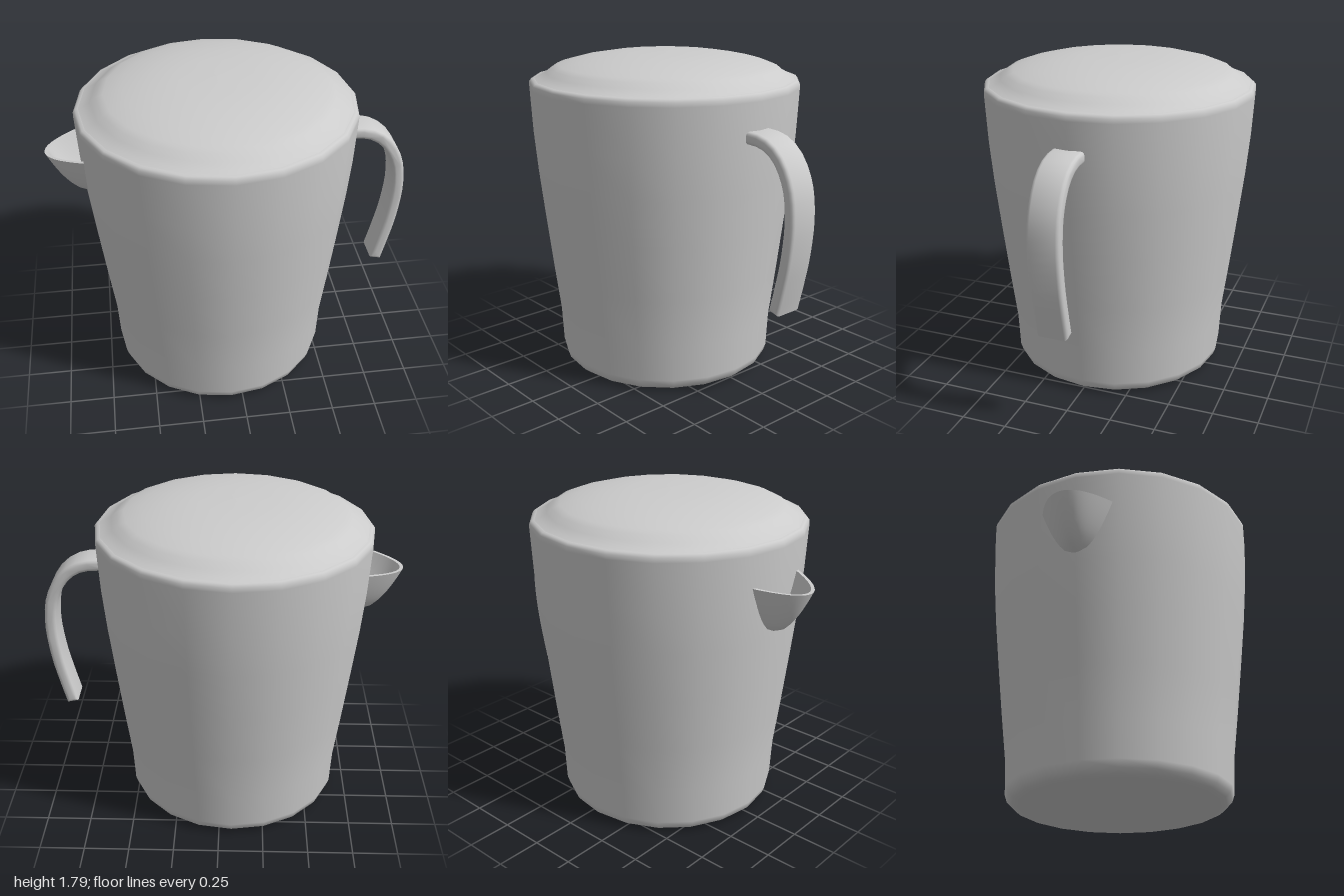
import * as THREE from 'three';
import { toCreasedNormals } from 'three/addons/utils/BufferGeometryUtils.js';

const material = new THREE.MeshStandardMaterial({ color: 0xcccccc });
const thinMaterial = new THREE.MeshStandardMaterial({ color: 0xcccccc, side: THREE.DoubleSide });
const AXIS_X = -0.07; // the vessel sits off centre between spout and handle

function add(group, name, geometry, mat = material) {
  const mesh = new THREE.Mesh(geometry, mat);
  mesh.name = name;
  group.add(mesh);
  return mesh;
}

// Twenty-sided turned part from [radius, height] pairs
function turned(profile) {
  return new THREE.LatheGeometry(profile.map(([r, y]) => new THREE.Vector2(r, y)), 20);
}

// Flat strap following a side curve, with rounded edges
function handleGeometry() {
  const curve = new THREE.CatmullRomCurve3([
    [0.62, 1.43], [0.68, 1.428], [0.77, 1.418], [0.865, 1.36], [0.942, 1.23],
    [0.967, 1.06], [0.95, 0.85], [0.918, 0.69], [0.882, 0.54],
  ].map(([x, y]) => new THREE.Vector3(x, y, 0)));
  const outer = [], inner = [], steps = 20, half = 0.033;
  for (let i = 0; i <= steps; i++) {
    const p = curve.getPointAt(i / steps), t = curve.getTangentAt(i / steps);
    outer.push(new THREE.Vector2(p.x - t.y * half, p.y + t.x * half));
    inner.push(new THREE.Vector2(p.x + t.y * half, p.y - t.x * half));
  }
  const bevel = 0.02, width = 0.175;
  const geometry = new THREE.ExtrudeGeometry(new THREE.Shape([...outer, ...inner.reverse()]), {
    depth: width - 2 * bevel, bevelEnabled: true, bevelSize: bevel,
    bevelThickness: bevel, bevelOffset: -bevel, bevelSegments: 3,
  });
  geometry.translate(0, 0, -width / 2 + bevel);
  return toCreasedNormals(geometry, 0.8);
}

// Thin scoop: parabolic sections that shrink toward the keel, outside then inside
function spoutGeometry() {
  const across = 16, down = 8, positions = [], index = [];
  const rows = [];
  for (let j = 0; j <= down; j++) rows.push([j / down, 0]);
  for (let j = down; j >= 0; j--) rows.push([j / down, 0.09]);
  for (const [h, inset] of rows) {
    const f = Math.max(0, Math.pow(h, 0.52) - inset);
    for (let i = 0; i <= across; i++) {
      const k = (i / across) * 2 - 1;
      positions.push(
        -0.775 - 0.225 * (1 - k * k) * f,
        1.15 + (0.26 + 0.03 * k * k) * h,
        0.205 * k * f,
      );
    }
  }
  const n = across + 1;
  for (let j = 0; j < rows.length - 1; j++) {
    for (let i = 0; i < across; i++) {
      const a = j * n + i, b = a + 1, c = a + n, d = c + 1;
      index.push(a, b, c, b, d, c);
    }
  }
  const geometry = new THREE.BufferGeometry();
  geometry.setAttribute('position', new THREE.Float32BufferAttribute(positions, 3));
  geometry.setIndex(index);
  return toCreasedNormals(geometry, 0.8);
}

export function createModel() {
  const model = new THREE.Group();
  model.name = 'pitcher';

  // Tapered vessel with rounded foot and rim
  add(model, 'body', turned([
    [0, 0], [0.54, 0], [0.575, 0.008], [0.602, 0.03], [0.615, 0.07], [0.625, 0.27],
    [0.66, 0.55], [0.695, 0.85], [0.725, 1.12], [0.745, 1.35],
    [0.758, 1.61], [0.757, 1.635], [0.745, 1.65], [0.725, 1.653],
  ])).position.x = AXIS_X;

  // Shallow domed lid
  add(model, 'lid', turned([
    [0.735, 1.65], [0.705, 1.662], [0.665, 1.685], [0.635, 1.71], [0.595, 1.727],
    [0.5, 1.753], [0.36, 1.777], [0.2, 1.79], [0, 1.793],
  ])).position.x = AXIS_X;

  add(model, 'spout', spoutGeometry(), thinMaterial);
  add(model, 'handle', handleGeometry());
  return model;
}
